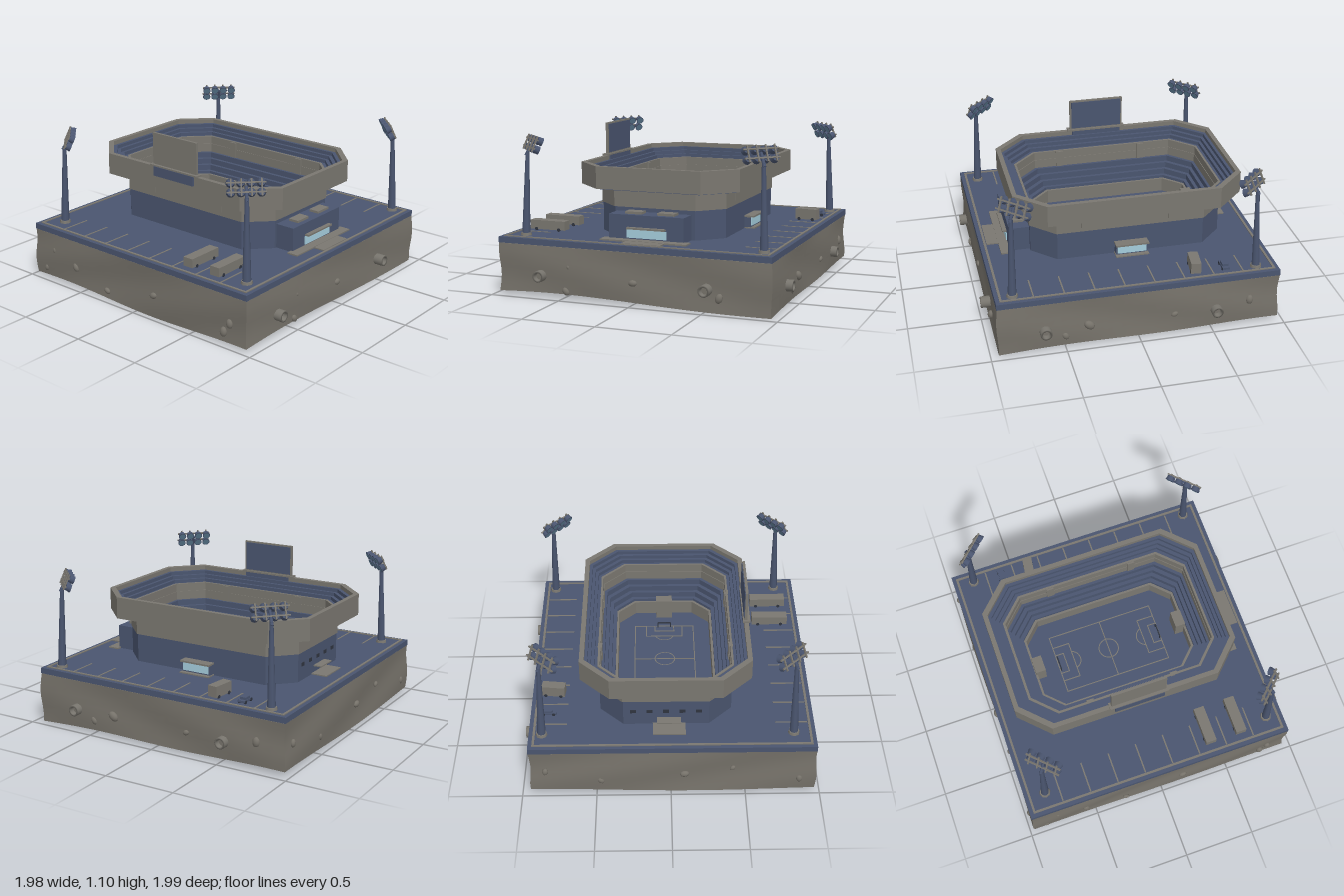
import * as THREE from 'three';

const mat = (name, color, side = THREE.FrontSide) => {
  const m = new THREE.MeshStandardMaterial({ color, side });
  m.name = name;
  return m;
};

export function createModel() {
  const model = new THREE.Group();
  model.name = 'stadium';
  const concrete = mat('concrete', 0x7a7770);
  const earth = mat('earth', 0x76726a);
  const navy = mat('navy', 0x4a556f);
  const glass = mat('glass', 0xa4cddc);
  const lens = mat('lens', 0x5f7f96);
  const dark = mat('dark', 0x2f343f);

  const add = (parent, name, geo, material, x = 0, y = 0, z = 0) => {
    const m = new THREE.Mesh(geo, material);
    m.name = name;
    m.position.set(x, y, z);
    parent.add(m);
    return m;
  };
  // box given by its limits
  const box = (parent, name, material, x0, x1, y0, y1, z0, z1) =>
    add(parent, name, new THREE.BoxGeometry(x1 - x0, y1 - y0, z1 - z0), material,
      (x0 + x1) / 2, (y0 + y1) / 2, (z0 + z1) / 2);
  const group = (parent, name, x = 0, y = 0, z = 0) => {
    const g = new THREE.Group();
    g.name = name;
    g.position.set(x, y, z);
    parent.add(g);
    return g;
  };

  // Ground block with wavy sides and underside
  const ground = group(model, 'ground', -0.01, 0, 0.01);
  const block = new THREE.BoxGeometry(1.91, 0.33, 1.91, 24, 6, 24);
  const p = block.attributes.position;
  for (let i = 0; i < p.count; i++) {
    const x = p.getX(i), z = p.getZ(i), t = (0.165 - p.getY(i)) / 0.33;
    const edge = Math.max(Math.abs(x), Math.abs(z)) > 0.95 ? 1 : 0;
    const bulge = 1 + edge * 0.012 * Math.sin(t * 3.1) * Math.sin(5 * x + 4 * z + 3 * t);
    const low = 0.032 + 0.02 * Math.cos(3.1 * x - 0.4) * Math.cos(2.6 * z + 0.6 + x) - 0.012 * x * x * z * z;
    p.setXYZ(i, x * bulge, 0.36 - t * (0.36 - low), z * bulge);
  }
  block.computeVertexNormals();
  add(ground, 'groundBlock', block, earth);
  box(ground, 'groundSlab', navy, -0.957, 0.957, 0.362, 0.402, -0.957, 0.957);
  for (const s of [-1, 1]) {
    const a = s * 0.922;
    box(ground, 'curb', concrete, -0.93, 0.93, 0.402, 0.408, a - 0.008, a + 0.008);
    box(ground, 'curb', concrete, a - 0.008, a + 0.008, 0.402, 0.408, -0.914, 0.914);
  }

  // Stones in the sides: across, height, size
  const stones = [
    [[-0.56, 0.17, 0.033], [0.17, 0.17, 0.03], [0.82, 0.17, 0.033], [-0.77, 0.24, 0.024],
      [-0.86, 0.09, 0.025], [-0.26, 0.08, 0.026], [0.77, 0.1, 0.035]],
    [[-0.44, 0.23, 0.022], [-0.46, 0.065, 0.03], [0.02, 0.16, 0.03], [0.61, 0.11, 0.034]],
    [[-0.35, 0.16, 0.04], [-0.51, 0.1, 0.03], [0.23, 0.16, 0.025], [0.75, 0.2, 0.035]],
    [[-0.85, 0.2, 0.028], [-0.48, 0.12, 0.03], [0.08, 0.17, 0.032], [0.85, 0.12, 0.03], [0.4, 0.22, 0.022]],
  ];
  stones.forEach((list, side) => {
    const g = group(ground, 'sideStones');
    g.rotation.y = side * Math.PI / 2;
    for (const [x, y, r] of list) {
      const s = add(g, 'stone', new THREE.SphereGeometry(r, 12, 8), earth, x, y, 0.955);
      s.scale.set(1, 0.72, 0.6);
      s.rotation.z = x * 2;
    }
  });
  // Drain pipes on the right and back
  const pipe = (x, z, turn) => {
    const g = group(model, 'drainPipe', x, 0.16, z);
    g.rotation.y = turn;
    const wall = [[0.026, 0.01], [0.026, 0.1], [0.039, 0.1], [0.039, -0.03]].map(a => new THREE.Vector2(...a));
    const tube = add(g, 'pipe', new THREE.LatheGeometry(wall, 20), mats.pipe);
    tube.rotation.x = Math.PI / 2;
    add(g, 'pipeEnd', new THREE.CircleGeometry(0.03, 20), earth, 0, 0, 0.065);
  };
  const mats = { pipe: mat('pipeConcrete', 0x77746d, THREE.DoubleSide) };
  for (const z of [-0.515, 0.65]) pipe(0.9, z, Math.PI / 2);
  for (const x of [-0.525, 0.635]) pipe(x, -0.9, Math.PI);

  // Stand: chamfered rings measured inward from the outer rim
  const stand = group(model, 'stand', -0.0525, 0, -0.03);
  const outline = o => {
    const a = 0.7925 - o, b = 0.57 - o, c = 0.2 - 0.33 * o;
    return [[a, b - c], [a - c, b], [c - a, b], [-a, b - c], [-a, c - b], [c - a, -b], [a - c, -b], [a, c - b]]
      .map(q => new THREE.Vector2(...q));
  };
  const ring = (name, material, o0, o1, y0, y1) => {
    const s = new THREE.Shape(outline(o0));
    if (o1) s.holes.push(new THREE.Path(outline(o1)));
    const g = new THREE.ExtrudeGeometry(s, { depth: y1 - y0, bevelEnabled: false });
    g.rotateX(-Math.PI / 2);
    return add(stand, name, g, material, 0, y0, 0);
  };
  ring('lowerWall', navy, 0.124, 0.15, 0.4, 0.6);
  ring('middleBand', concrete, 0.118, 0.135, 0.6, 0.722);
  ring('upperFloor', navy, 0.03, 0.13, 0.722, 0.745);
  ring('upperBand', concrete, 0, 0.032, 0.73, 0.88);
  [0.032, 0.053, 0.074, 0.095].forEach((o, i) =>
    ring('upperSeats', navy, o, o + 0.021, 0.745, 0.85 - i * 0.025));
  ring('middleParapet', concrete, 0.116, 0.131, 0.722, 0.78);
  [0.13, 0.154, 0.178, 0.202].forEach((o, i) =>
    ring('lowerSeats', navy, o, o + 0.024, 0.4, 0.66 - i * 0.04));
  ring('pitchWall', concrete, 0.226, 0.242, 0.4, 0.52);
  ring('pitch', navy, 0.242, 0, 0.4, 0.42);
  for (const s of [-1, 1]) {
    box(stand, 'playerTunnel', concrete, s * 0.525 - 0.036, s * 0.525 + 0.036, 0.42, 0.57, -0.058, 0.058);
    for (const x of [-0.285, 0.32])
      box(stand, 'standGate', concrete, x - 0.026, x + 0.026, 0.63, 0.775, s * 0.443 - 0.015, s * 0.443 + 0.015);
  }

  // Pitch markings
  const marks = group(stand, 'pitchMarkings', 0, 0.42, 0);
  const w = 0.0035;
  const line = (x0, x1, z0, z1) => box(marks, 'line', concrete, x0 - w, x1 + w, 0, 0.003, z0 - w, z1 + w);
  const arc = (r, x, start, len) => {
    const g = new THREE.RingGeometry(r - w, r + w, 40, 1, start, len);
    g.rotateX(-Math.PI / 2);
    add(marks, 'arc', g, concrete, x, 0.003, 0);
  };
  line(0, 0, -0.213, 0.213);
  arc(0.07, 0, 0, Math.PI * 2);
  for (const s of [-1, 1]) {
    line(-0.383, 0.383, s * 0.213, s * 0.213);
    line(s * 0.383, s * 0.383, -0.213, 0.213);
    for (const [d, h] of [[0.12, 0.13], [0.06, 0.07]]) {
      const x = s * (0.383 - d);
      line(x, x, -h, h);
      for (const k of [-1, 1]) line(Math.min(x, s * 0.383), Math.max(x, s * 0.383), k * h, k * h);
    }
    arc(0.067, s * 0.283, s > 0 ? Math.PI - 1.27 : -1.27, 2.54);
    // Goal frame
    for (const k of [-1, 1])
      box(stand, 'goalPost', dark, s * 0.375 - 0.004, s * 0.375 + 0.004, 0.42, 0.46, k * 0.045 - 0.004, k * 0.045 + 0.004);
    box(stand, 'goalBar', dark, s * 0.375 - 0.004, s * 0.375 + 0.004, 0.455, 0.462, -0.045, 0.045);
  }

  // Scoreboard on the front rim
  box(model, 'scoreboardBracket', navy, -0.205, 0.15, 0.815, 0.882, 0.5, 0.553);
  box(model, 'scoreboardLedge', concrete, -0.24, 0.182, 0.88, 0.892, 0.5, 0.55);
  box(model, 'scoreboard', concrete, -0.225, 0.165, 0.892, 1.113, 0.512, 0.53);
  box(model, 'scoreboardScreen', navy, -0.213, 0.153, 0.9, 1.103, 0.507, 0.512);

  // Annex and main entrance on the right side
  const annex = group(model, 'annex');
  box(annex, 'annexBody', navy, 0.6, 0.755, 0.4, 0.572, -0.29, 0.24);
  for (const z of [-0.15, 0.08]) box(annex, 'roofUnit', concrete, 0.645, 0.72, 0.572, 0.588, z - 0.06, z + 0.06);
  box(annex, 'entranceGlass', glass, 0.755, 0.762, 0.42, 0.475, -0.17, 0.11);
  box(annex, 'entranceCanopy', concrete, 0.75, 0.785, 0.48, 0.492, -0.165, 0.105);
  box(annex, 'terrace', concrete, 0.74, 0.82, 0.4, 0.412, -0.33, 0.28);
  box(annex, 'forecourt', concrete, 0.82, 0.9, 0.4, 0.41, -0.18, 0.09);

  // Back and left entrances
  box(model, 'backPorch', navy, -0.16, 0.06, 0.4, 0.48, -0.52, -0.47);
  box(model, 'backGlass', glass, -0.15, 0.05, 0.42, 0.475, -0.527, -0.52);
  box(model, 'backCanopy', concrete, -0.165, 0.065, 0.48, 0.492, -0.545, -0.47);
  box(model, 'backStep', concrete, -0.165, 0.065, 0.4, 0.41, -0.55, -0.47);
  box(model, 'leftForecourt', concrete, -0.835, -0.71, 0.4, 0.41, -0.12, 0.1);
  box(model, 'leftCanopy', concrete, -0.78, -0.71, 0.452, 0.46, -0.09, 0.07);
  for (let i = 0; i < 5; i++) {
    const z = -0.25 + i * 0.11;
    box(model, 'leftWindow', dark, -0.725, -0.72, 0.5, 0.525, z - 0.02, z + 0.02);
  }

  // Parking bays along the front and back
  for (let i = 0; i < 8; i++) {
    const x = -0.72 + i * 0.2025;
    box(model, 'bayLine', concrete, x - 0.005, x + 0.005, 0.402, 0.405, -0.9, -0.695);
    box(model, 'bayLine', concrete, x - 0.005, x + 0.005, 0.402, 0.405, 0.705, 0.92);
  }

  // Vehicles
  const vehicle = (name, material, x, z, wd, len, h, turn, cabin) => {
    const g = group(model, name, x, 0.402, z);
    g.rotation.y = turn;
    const a = wd / 2, b = len / 2, top = cabin ? h * 0.6 : h;
    box(g, 'body', material, -a, a, 0.01, top, -b, b);
    if (cabin) box(g, 'cabin', material, -a * 0.85, a * 0.85, top, h, -b * 0.55, b * 0.5);
    for (const s of [-1, 1]) {
      for (const k of [-0.65, 0.65]) {
        const wheel = add(g, 'wheel', new THREE.CylinderGeometry(0.012, 0.012, 0.01, 12), dark, s * (a - 0.003), 0.012, k * b);
        wheel.rotation.z = Math.PI / 2;
      }
    }
  };
  vehicle('bus', concrete, 0.392, 0.75, 0.075, 0.26, 0.072, 0);
  vehicle('bus', concrete, 0.617, 0.75, 0.075, 0.26, 0.072, 0);
  vehicle('van', concrete, -0.408, -0.8, 0.068, 0.16, 0.085, -0.12);
  vehicle('car', navy, -0.61, -0.825, 0.05, 0.105, 0.04, 0, true);

  // Floodlights at the corners, turned to the pitch
  for (const [x, z] of [[-0.82, -0.86], [0.83, -0.86], [-0.82, 0.82], [0.83, 0.82]]) {
    const g = group(model, 'floodlight', x, 0.4, z);
    g.rotation.y = Math.atan2(-Math.sign(x), -Math.sign(z));
    add(g, 'mastFoot', new THREE.CylinderGeometry(0.036, 0.04, 0.02, 8), concrete, 0, 0.01, 0);
    const mast = add(g, 'mast', new THREE.CylinderGeometry(0.013, 0.029, 0.56, 8), navy, 0, 0.285, 0.01);
    mast.rotation.x = 0.035;
    const arm = add(g, 'arm', new THREE.CylinderGeometry(0.01, 0.012, 0.1, 8), navy, 0, 0.585, 0.033);
    arm.rotation.x = 0.5;
    const head = group(g, 'lampHead', 0, 0.62, 0.055);
    head.rotation.x = 0.42;
    for (const y of [-0.03, 0.03]) {
      box(head, 'frameBar', concrete, -0.125, 0.125, y - 0.005, y + 0.005, -0.017, -0.007);
      for (let i = 0; i < 4; i++) {
        const lx = (i - 1.5) * 0.064;
        const lamp = add(head, 'lamp', new THREE.CylinderGeometry(0.029, 0.022, 0.034, 14), navy, lx, y, 0.01);
        lamp.rotation.x = Math.PI / 2;
        add(head, 'lampLens', new THREE.CircleGeometry(0.024, 14), lens, lx, y, 0.0285);
      }
    }
    for (let i = 0; i < 4; i++) {
      const bx = (i - 1.5) * 0.064;
      box(head, 'frameUpright', concrete, bx - 0.005, bx + 0.005, -0.055, 0.055, -0.02, -0.01);
    }
  }
  return model;
}
